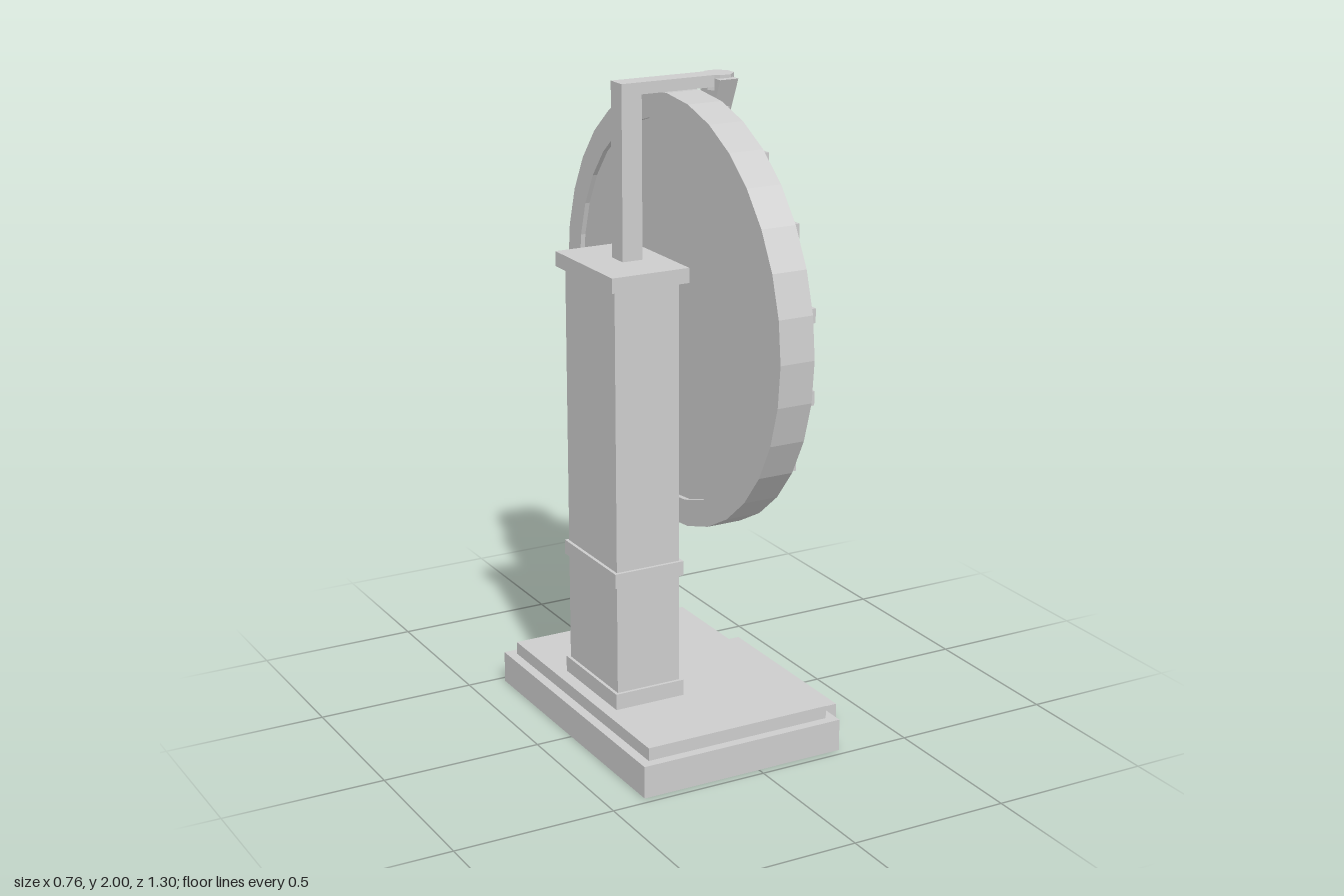
import * as THREE from 'three';

export function createModel() {
  const model = new THREE.Group();
  const grey = new THREE.MeshStandardMaterial({ color: 0xcccccc, flatShading: true });
  grey.name = 'plain grey';

  const add = (name, geometry, parent = model) => {
    const mesh = new THREE.Mesh(geometry, grey);
    mesh.name = name;
    parent.add(mesh);
    return mesh;
  };
  // Box from x and y ranges, centred on z with half depth hz
  const box = (name, x0, x1, y0, y1, hz) => {
    const mesh = add(name, new THREE.BoxGeometry(x1 - x0, y1 - y0, hz * 2));
    mesh.position.set((x0 + x1) / 2, (y0 + y1) / 2, 0);
    return mesh;
  };

  // Stepped base
  box('base', -0.385, 0.28, 0, 0.1, 0.475);
  box('plinth', -0.355, 0.25, 0.1, 0.14, 0.445);
  box('frontStep', 0.28, 0.38, 0, 0.06, 0.3);

  // Column with mouldings
  box('column', -0.305, -0.095, 0.14, 1.435, 0.157);
  box('columnFoot', -0.315, -0.085, 0.14, 0.19, 0.167);
  box('columnBand', -0.315, -0.085, 0.53, 0.575, 0.167);
  box('columnCap', -0.325, -0.075, 1.435, 1.48, 0.181);

  // Overhead arm and pointer
  box('armPost', -0.213, -0.148, 1.48, 1.965, 0.033);
  box('armBeam', -0.213, 0.12, 1.965, 2, 0.033);
  const knob = add('armEnd', new THREE.CylinderGeometry(0.048, 0.048, 0.045, 8));
  knob.rotation.y = Math.PI / 8;
  knob.position.set(0.12, 1.9775, 0);
  const wedge = new THREE.Shape([
    new THREE.Vector2(-0.068, 1.99),
    new THREE.Vector2(0, 1.835),
    new THREE.Vector2(0.068, 1.99),
  ]);
  const pointer = add('pointer', new THREE.ExtrudeGeometry(wedge, { depth: 0.06, bevelEnabled: false }));
  pointer.rotation.y = Math.PI / 2;
  pointer.position.x = 0.09;

  // Wheel, turning about the x axis
  const wheel = new THREE.Group();
  wheel.name = 'wheel';
  wheel.position.y = 1.305;
  model.add(wheel);
  const disc = (name, radius, x0, x1, sides) => {
    const mesh = add(name, new THREE.CylinderGeometry(radius, radius, x1 - x0, sides), wheel);
    mesh.rotation.z = -Math.PI / 2;
    mesh.position.x = (x0 + x1) / 2;
  };
  const section = [[0.57, -0.05], [0.65, -0.05], [0.65, 0.06], [0.57, 0.06], [0.57, -0.05]];
  const rim = add('rim', new THREE.LatheGeometry(section.map(p => new THREE.Vector2(...p)), 32), wheel);
  rim.rotation.z = -Math.PI / 2;
  disc('wheelPanel', 0.572, -0.035, 0.035, 32);
  disc('axle', 0.048, -0.1, -0.03, 12);
  disc('hub', 0.117, 0.03, 0.075, 12);
  disc('hubCap', 0.062, 0.07, 0.105, 12);

  // Eight spokes
  for (let i = 0; i < 8; i++) {
    const a = (i + 0.5) * Math.PI / 4;
    const spoke = add('spoke', new THREE.BoxGeometry(0.02, 0.475, 0.024), wheel);
    spoke.rotation.x = a;
    spoke.position.set(0.04, Math.cos(a) * 0.333, Math.sin(a) * 0.333);
  }
  // Sixteen upright square pegs round the rim
  for (let i = 0; i < 16; i++) {
    const a = (i + 0.5) * Math.PI / 8;
    const peg = add('peg', new THREE.BoxGeometry(0.03, 0.042, 0.042), wheel);
    peg.position.set(0.064, Math.cos(a) * 0.612, Math.sin(a) * 0.612);
  }
  return model;
}
